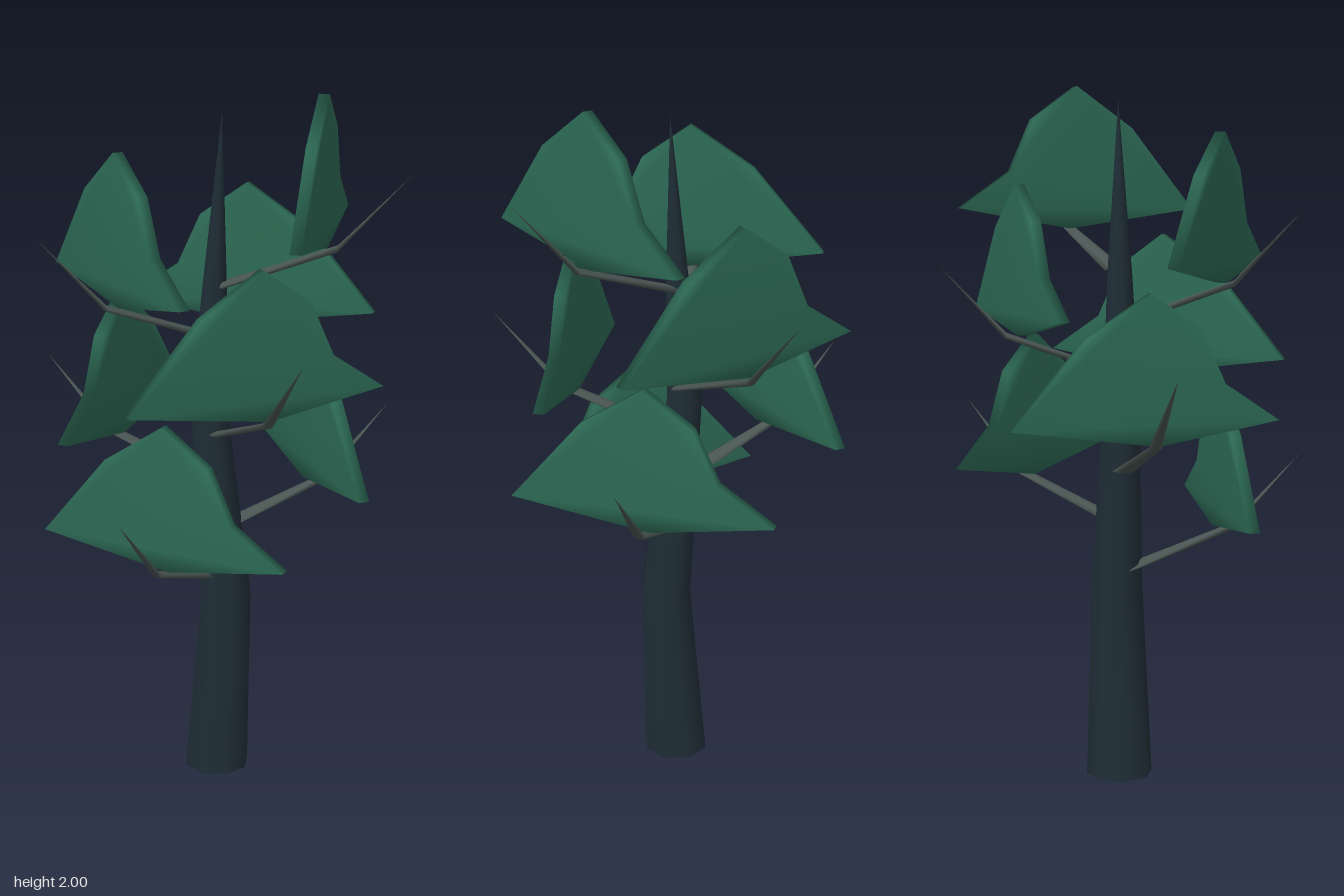
import * as THREE from 'three';
import { mergeVertices } from 'three/addons/utils/BufferGeometryUtils.js';

const bark = new THREE.MeshStandardMaterial({ color: 0x1f2d36 });
const wood = new THREE.MeshStandardMaterial({ color: 0x4a5653 });
const leaf = new THREE.MeshStandardMaterial({ color: 0x2d6a55 });

// Smooth skin over elliptical rings; u x v points along the path
function loft(rings, sides, u, v) {
  const pos = [], index = [];
  rings.forEach(([x, y, z, ru, rv]) => {
    for (let j = 0; j < sides; j++) {
      const a = (j / sides) * Math.PI * 2;
      const p = new THREE.Vector3(x, y, z)
        .addScaledVector(u, ru * Math.cos(a))
        .addScaledVector(v, rv * Math.sin(a));
      pos.push(p.x, p.y, p.z);
    }
  });
  for (let i = 0; i < rings.length - 1; i++) {
    for (let j = 0; j < sides; j++) {
      const k = (j + 1) % sides;
      const a = i * sides + j, b = i * sides + k;
      index.push(a, b, a + sides, b, b + sides, a + sides);
    }
  }
  const geo = new THREE.BufferGeometry();
  geo.setAttribute('position', new THREE.Float32BufferAttribute(pos, 3));
  geo.setIndex(index);
  geo.computeVertexNormals();
  return geo;
}

// Upright leaf slab outline, relative to its branch level
function foliageGeometry() {
  const outline = [
    [-0.385, 0.78], [0.02, 0.725], [0.367, 0.785], [0.21, 0.89],
    [0.14, 1.04], [0, 1.138], [-0.18, 1.02],
  ].map(([x, y]) => new THREE.Vector2(x, y));
  const depth = 0.03;
  let geo = new THREE.ExtrudeGeometry(new THREE.Shape(outline), { depth, bevelEnabled: false });
  geo.translate(0, 0, 0.295 - depth / 2);
  // Weld the corners so shading runs softly over the rim
  geo.deleteAttribute('normal');
  geo.deleteAttribute('uv');
  geo = mergeVertices(geo);
  geo.computeVertexNormals();
  return geo;
}

export function createModel() {
  const model = new THREE.Group();
  model.name = 'tree';
  const X = new THREE.Vector3(1, 0, 0);
  const Y = new THREE.Vector3(0, 1, 0);
  const Z = new THREE.Vector3(0, 0, 1);
  const add = (parent, name, geo, mat) => {
    const mesh = new THREE.Mesh(geo, mat);
    mesh.name = name;
    parent.add(mesh);
    return mesh;
  };

  // Crooked trunk tapering to a spire: height, x offset, radius
  const trunk = [
    [0, 0.005, 0.097], [0.55, 0.036, 0.075], [1.14, -0.023, 0.052],
    [1.46, -0.003, 0.036], [1.95, 0.02, 0],
  ];
  add(model, 'trunk', loft(trunk.map(([y, x, r]) => [x, y, 0, r, r]), 8, Z, X), bark);
  const base = add(model, 'trunkBase', new THREE.CircleGeometry(0.097, 8), bark);
  base.rotation.x = Math.PI / 2;
  base.position.x = 0.005;

  // Flattened branches with an upward elbow, spiralling up the trunk
  const branchGeo = loft([
    [0, 0.61, 0.02, 0.036, 0.011],
    [0, 0.725, 0.34, 0.019, 0.010],
    [0, 0.93, 0.535, 0, 0],
  ], 6, X, Y);
  const leafGeo = foliageGeometry();
  for (let i = 0; i < 7; i++) {
    const tier = new THREE.Group();
    tier.name = 'branchTier' + (i + 1);
    tier.position.y = i * 0.1435;
    tier.rotation.y = THREE.MathUtils.degToRad(i * 137.5);
    add(tier, 'branch', branchGeo, wood);
    add(tier, 'foliage', leafGeo, leaf);
    model.add(tier);
  }
  return model;
}
